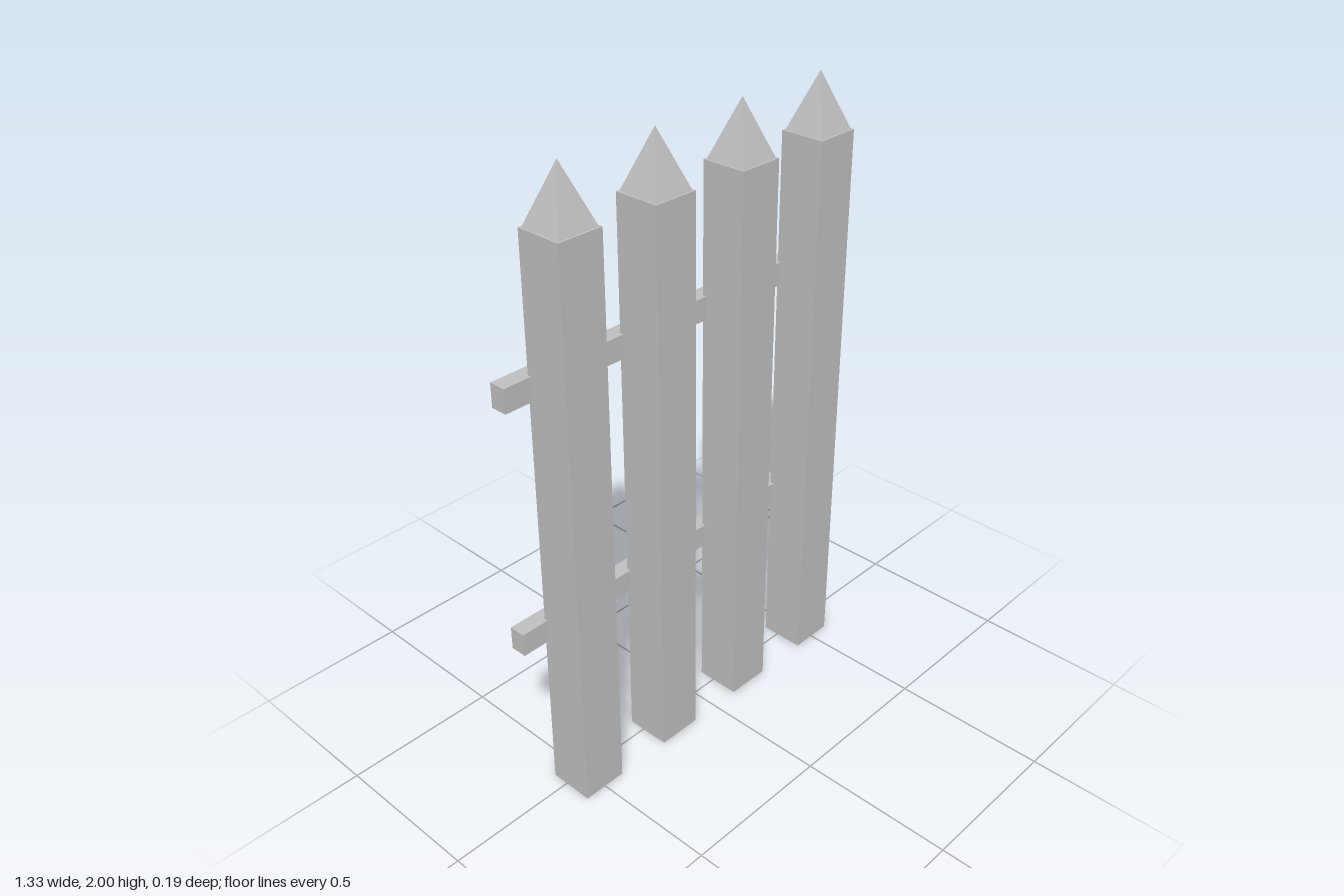
import * as THREE from 'three';

const POST = 0.147, POST_TOP = 1.825, POST_Z = 0.02;

// Square post that is hollow underneath: a box without its bottom face
function openBox(w, h, d) {
  const g = new THREE.BoxGeometry(w, h, d);
  const idx = Array.from(g.index.array);
  idx.splice(18, 6);
  g.setIndex(idx);
  g.clearGroups();
  return g;
}

export function createModel() {
  const model = new THREE.Group();
  model.name = 'picketFence';
  const grey = new THREE.MeshStandardMaterial({ color: 0xc0c0c0, side: THREE.DoubleSide });
  grey.name = 'grey';

  const add = (parent, name, geometry, x, y, z) => {
    const mesh = new THREE.Mesh(geometry, grey);
    mesh.name = name;
    mesh.position.set(x, y, z);
    parent.add(mesh);
  };

  const postGeo = openBox(POST, POST_TOP, POST);

  // Four-sided point, slightly narrower than the post
  const tipHeight = 2 - POST_TOP;
  const tipGeo = new THREE.ConeGeometry(0.135 / Math.SQRT2, tipHeight, 4, 1, true)
    .rotateY(Math.PI / 4).toNonIndexed();
  tipGeo.computeVertexNormals();

  // Pickets
  for (let i = 0; i < 4; i++) {
    const picket = new THREE.Group();
    picket.name = `picket${i + 1}`;
    picket.position.set(-0.5 + i / 3, 0, POST_Z);
    add(picket, 'post', postGeo, 0, POST_TOP / 2, 0);
    add(picket, 'pointedTip', tipGeo, 0, POST_TOP + tipHeight / 2, 0);
    model.add(picket);
  }

  // Rails across the back
  const railGeo = new THREE.BoxGeometry(1.333, 0.075, 0.053);
  add(model, 'lowerRail', railGeo, 0, 0.577, -0.067);
  add(model, 'upperRail', railGeo, 0, 1.377, -0.067);

  return model;
}
